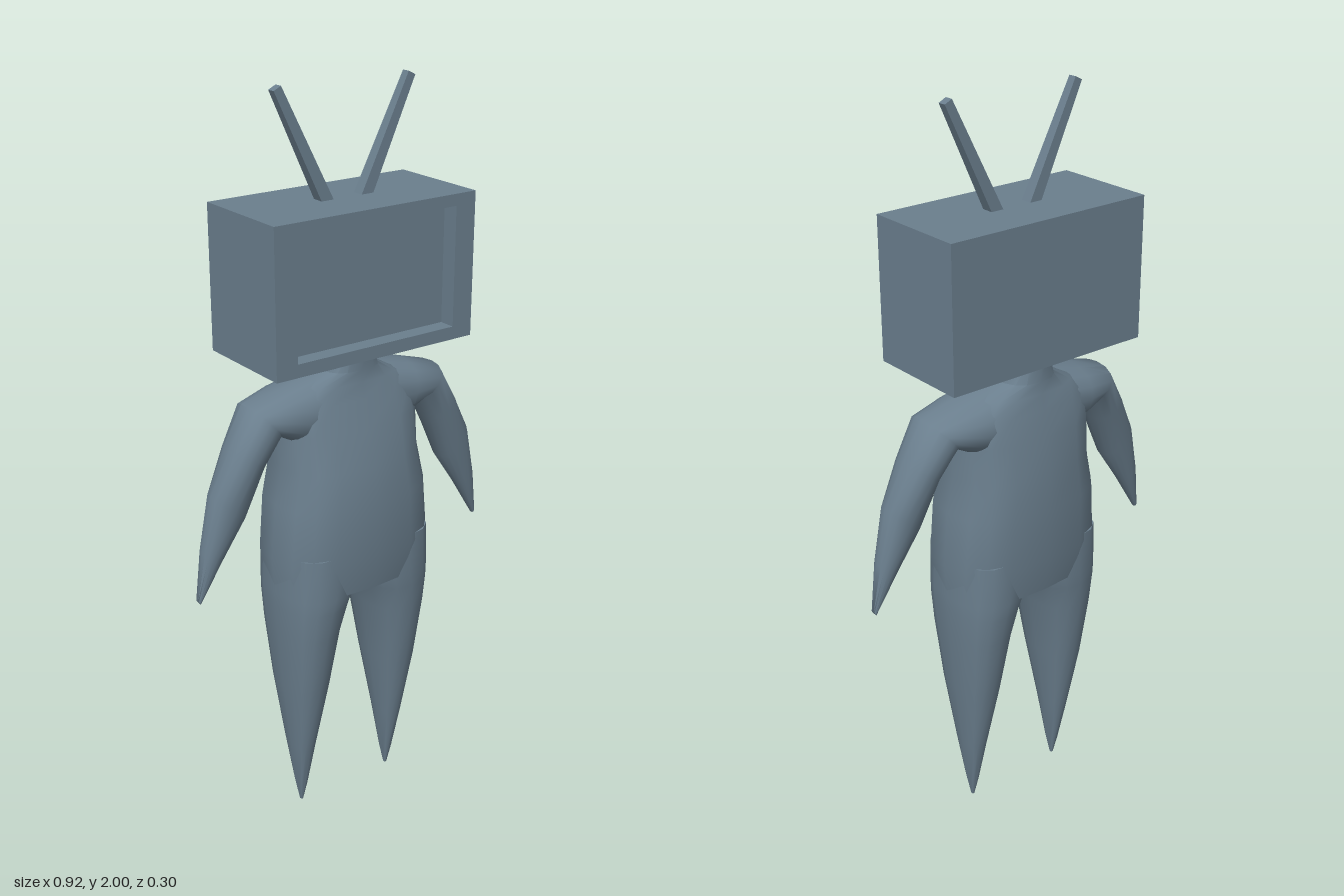
import * as THREE from 'three';
import { toCreasedNormals } from 'three/addons/utils/BufferGeometryUtils.js';

const material = new THREE.MeshStandardMaterial({ color: 0x6a7e8d });
const SIDES = 16;

function part(name, geometry, parent) {
  const mesh = new THREE.Mesh(geometry, material);
  mesh.name = name;
  parent.add(mesh);
  return mesh;
}

// Skin through rings; each ring is [ax, ay, bx, by, zFront, zBack], where a and b
// are its two ends in the front plane. "power" below 1 makes the section boxier.
function loft(rings, power) {
  const pos = [], index = [];
  const bend = (v) => Math.sign(v) * Math.pow(Math.abs(v), power);
  for (const [ax, ay, bx, by, zf, zb] of rings) {
    for (let j = 0; j < SIDES; j++) {
      const t = (j / SIDES) * Math.PI * 2;
      const c = bend(Math.cos(t)), s = bend(Math.sin(t));
      pos.push((ax + bx + c * (ax - bx)) / 2, (ay + by + c * (ay - by)) / 2, s > 0 ? s * zf : -s * zb);
    }
  }
  const last = (rings.length - 1) * SIDES;
  for (let j = 0; j < SIDES; j++) {
    const k = (j + 1) % SIDES;
    for (let o = 0; o < last; o += SIDES) {
      index.push(o + j, o + SIDES + j, o + k, o + k, o + SIDES + j, o + SIDES + k);
    }
    // End caps
    if (j > 0 && k > 0) index.push(0, j, k, last, last + k, last + j);
  }
  const g = new THREE.BufferGeometry();
  g.setAttribute('position', new THREE.Float32BufferAttribute(pos, 3));
  g.setIndex(index);
  return toCreasedNormals(g, 0.8);
}

// Mirror a ring in x, swapping its ends so the winding stays right
const mirror = ([ax, ay, bx, by, zf, zb]) => [-bx, by, -ax, ay, zf, zb];

function rectangle(PathType, x0, y0, x1, y1) {
  return new PathType([[x0, y0], [x1, y0], [x1, y1], [x0, y1]].map(([x, y]) => new THREE.Vector2(x, y)));
}

function buildHead() {
  const head = new THREE.Group();
  head.name = 'head';
  // Casing with the screen as its recessed front
  const casing = part('casing', new THREE.BoxGeometry(0.595, 0.374, 0.243), head);
  casing.position.set(-0.0025, 1.533, -0.0215);
  // Raised frame around the screen
  const shape = rectangle(THREE.Shape, -0.3, 1.346, 0.295, 1.72);
  shape.holes.push(rectangle(THREE.Path, -0.24, 1.38, 0.235, 1.69));
  const frame = new THREE.ExtrudeGeometry(shape, { depth: 0.045, bevelEnabled: false });
  part('screenFrame', frame, head).position.z = 0.1;
  // Square tapered aerials
  for (const s of [1, -1]) {
    const from = new THREE.Vector3(s * 0.05, 1.7, 0), to = new THREE.Vector3(s * 0.195, 1.995, 0);
    const dir = to.clone().sub(from);
    const rod = new THREE.CylinderGeometry(0.016, 0.023, dir.length(), 4, 1).rotateY(Math.PI / 4);
    const aerial = part(s > 0 ? 'leftAerial' : 'rightAerial', toCreasedNormals(rod, 0.6), head);
    aerial.position.copy(from).add(to).multiplyScalar(0.5);
    aerial.quaternion.setFromUnitVectors(new THREE.Vector3(0, 1, 0), dir.normalize());
  }
  return head;
}

function buildBody() {
  const body = new THREE.Group();
  body.name = 'body';

  // Torso and neck from the rounded crotch up: height, half width, front, back
  const torso = [
    [0.668, 0.13, 0.07, -0.07],
    [0.7, 0.224, 0.136, -0.136],
    [0.8, 0.232, 0.15, -0.15],
    [0.95, 0.218, 0.15, -0.154],
    [1.05, 0.197, 0.137, -0.15],
    [1.15, 0.2, 0.112, -0.139],
    [1.22, 0.195, 0.09, -0.125],
    [1.262, 0.15, 0.079, -0.116],
    [1.293, 0.08, 0.076, -0.111],
    [1.36, 0.056, 0.08, -0.112],
  ].map(([y, w, f, b]) => [w, y, -w, y, f, b]);
  part('torso', loft(torso, 0.7), body);

  // Leg from the pointed foot up into the torso: height, outer x, inner x, half depth
  const leg = [
    [0, 0.154, 0.146, 0.005],
    [0.06, 0.164, 0.136, 0.02],
    [0.2, 0.182, 0.118, 0.05],
    [0.4, 0.205, 0.088, 0.092],
    [0.58, 0.22, 0.062, 0.122],
    [0.66, 0.225, 0.038, 0.133],
    [0.7, 0.226, 0.02, 0.137],
    [0.82, 0.223, 0.01, 0.138],
  ].map(([y, o, i, d]) => [o, y, i, y, d, -d]);

  // Arm from the pointed hand up into the shoulder
  const arm = [
    [0.459, 0.75, 0.452, 0.738, 0.009, -0.009],
    [0.44, 0.88, 0.385, 0.85, 0.03, -0.031],
    [0.408, 1.025, 0.318, 0.95, 0.047, -0.049],
    [0.35, 1.135, 0.265, 1.08, 0.062, -0.071],
    [0.29, 1.235, 0.22, 1.15, 0.072, -0.09],
    [0.19, 1.265, 0.17, 1.12, 0.082, -0.108],
    [0.075, 1.292, 0.09, 1.1, 0.08, -0.108],
  ];
  for (const side of ['left', 'right']) {
    const place = (rings) => (side === 'left' ? rings : rings.map(mirror));
    part(side + 'Leg', loft(place(leg), 0.78), body);
    part(side + 'Arm', loft(place(arm), 0.9), body);
  }
  return body;
}

export function createModel() {
  const model = new THREE.Group();
  model.name = 'televisionHeadFigure';
  model.add(buildHead(), buildBody());
  return model;
}
